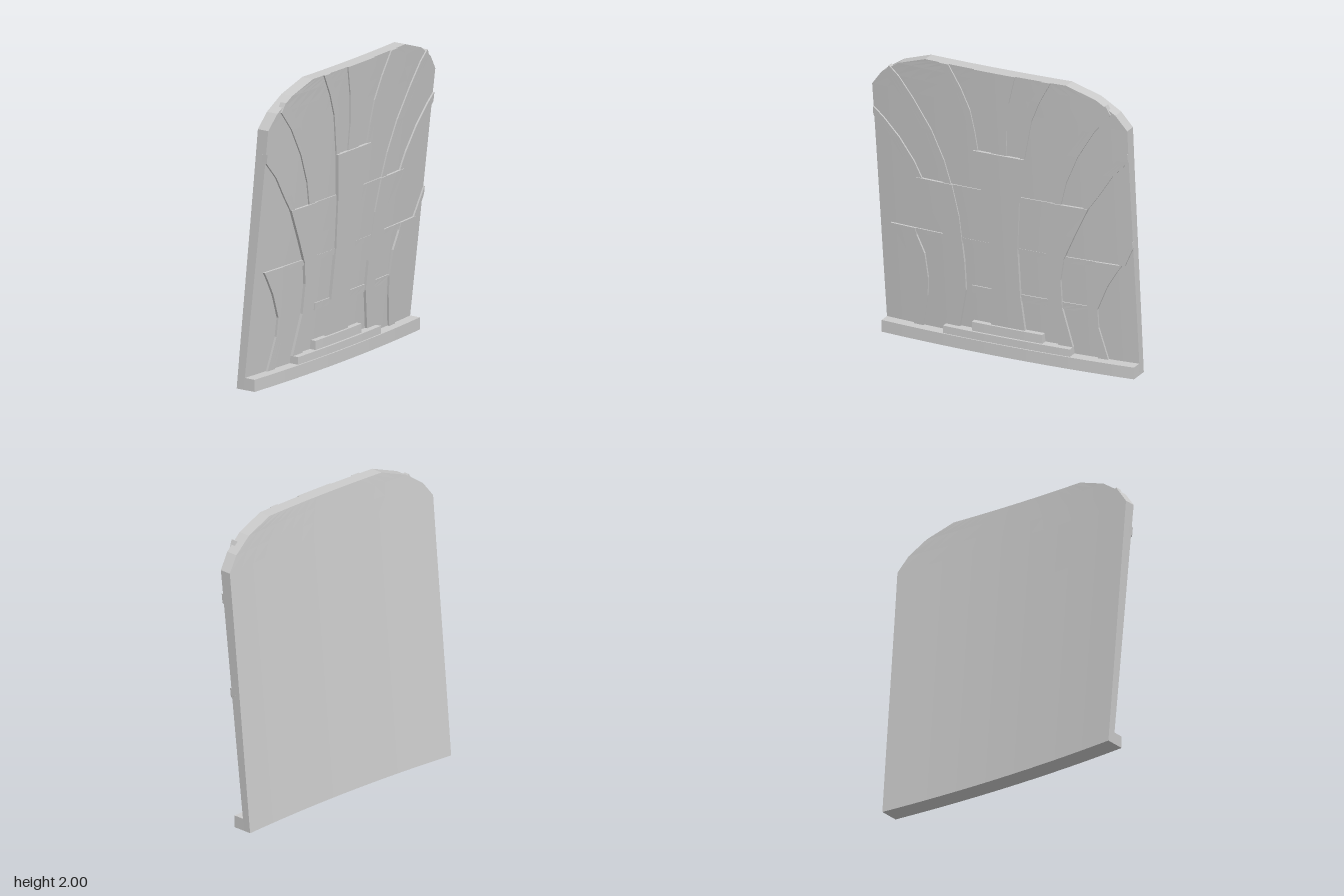
import * as THREE from 'three';

const material = new THREE.MeshStandardMaterial({ color: 0xcccccc, flatShading: true });

// Leaning, gently bowed surfaces of the panel
const bow = x => -0.04 * (x / 0.9) ** 2;
const back = (x, y) => -0.13 + 0.1 * y + bow(x);
const face = (x, y) => back(x, y) + 0.055 + 0.015 * y;

// Closed solid lofted through rows [y, xLeft, xRight] (upwards) between two z surfaces
function loft(name, rows, cols, zBack, zFront) {
  const pos = [];
  const point = (r, c, z) => {
    const [y, a, b] = rows[r];
    const x = a + (b - a) * c / cols;
    return [x, y, z(x, y)];
  };
  const F = (r, c) => point(r, c, zFront);
  const B = (r, c) => point(r, c, zBack);
  const quad = (a, b, c, d) => pos.push(...a, ...b, ...c, ...a, ...c, ...d);
  const top = rows.length - 1;
  for (let r = 0; r < top; r++) {
    for (let c = 0; c < cols; c++) {
      quad(F(r, c), F(r, c + 1), F(r + 1, c + 1), F(r + 1, c));
      quad(B(r, c + 1), B(r, c), B(r + 1, c), B(r + 1, c + 1));
    }
    quad(B(r, 0), F(r, 0), F(r + 1, 0), B(r + 1, 0));
    quad(F(r, cols), B(r, cols), B(r + 1, cols), F(r + 1, cols));
  }
  for (let c = 0; c < cols; c++) {
    quad(B(0, c), B(0, c + 1), F(0, c + 1), F(0, c));
    quad(F(top, c), F(top, c + 1), B(top, c + 1), B(top, c));
  }
  const geo = new THREE.BufferGeometry();
  geo.setAttribute('position', new THREE.Float32BufferAttribute(pos, 3));
  geo.computeVertexNormals();
  const mesh = new THREE.Mesh(geo, material);
  mesh.name = name;
  return mesh;
}

// Raised piece that follows the panel face
const relief = (name, rows, lift, cols = 3) =>
  loft(name, rows, cols, (x, y) => face(x, y) - 0.03, (x, y) => face(x, y) + lift);

const symmetric = rows => rows.map(([y, w]) => [y, -w, w]);
const mirrored = rows => rows.map(([y, a, b]) => [y, -b, -a]);

export function createModel() {
  const model = new THREE.Group();
  model.name = 'reliefPanel';

  // Main panel with clipped upper corners
  const outline = [[0, 0.895], [0.5, 0.898], [1, 0.9], [1.4, 0.902], [1.74, 0.905], [1.84, 0.83], [1.93, 0.7], [2, 0.5]];
  model.add(loft('panel', symmetric(outline), 16, back, face));

  // Stepped ledges along the foot
  [[0, 0.08, 0.895, 0.01], [0.08, 0.13, 0.45, 0.0], [0.13, 0.19, 0.25, -0.015]].forEach(([y0, y1, w, z], i) =>
    model.add(loft('ledge' + (i + 1), symmetric([[y0, w], [y1, w]]), 12, (x, y) => back(x, y) + 0.02, x => z + bow(x))));

  // Central column and the flared piece above it
  model.add(relief('centralColumn', symmetric([[0.19, 0.12], [0.43, 0.1], [0.77, 0.1], [1.1, 0.13], [1.42, 0.18]]), 0.022, 4));
  model.add(relief('centralFlare', symmetric([[1.42, 0.055], [1.6, 0.06], [1.8, 0.09], [2, 0.145]]), 0.009, 4));

  // Horizontal bars behind the ribs
  model.add(relief('middleBar', symmetric([[0.73, 0.78], [0.77, 0.82]]), 0.01, 14));
  model.add(relief('lowerBar', [[0.39, -0.25, 0.47], [0.44, -0.25, 0.6]], 0.008, 10));

  // Ribs and inlays for the left side, mirrored to the right
  const pieces = [
    ['upperRib', 0.01, [[1.42, 0.15, 0.18], [1.55, 0.165, 0.21], [1.7, 0.19, 0.245], [1.85, 0.25, 0.31], [2, 0.33, 0.395]]],
    ['shoulderRib', 0.01, [[1.14, 0.36, 0.42], [1.3, 0.4, 0.465], [1.5, 0.48, 0.555], [1.7, 0.6, 0.68], [1.84, 0.7, 0.8], [1.9, 0.765, 0.77]]],
    ['sideRib', 0.012, [[1.14, 0.57, 0.61], [1.25, 0.62, 0.69], [1.4, 0.72, 0.79], [1.52, 0.83, 0.903], [1.58, 0.9, 0.904]]],
    ['innerInlay', 0.008, [[0.75, 0.09, 0.31], [0.92, 0.1, 0.33], [1.14, 0.12, 0.37]]],
    ['innerRib', 0.018, [[0.13, 0.35, 0.45], [0.4, 0.29, 0.39], [0.6, 0.29, 0.39], [0.75, 0.3, 0.42], [0.92, 0.31, 0.5], [1.14, 0.35, 0.61]]],
    ['outerRib', 0.015, [[0.08, 0.62, 0.69], [0.3, 0.575, 0.635], [0.43, 0.565, 0.635], [0.6, 0.58, 0.71], [0.72, 0.63, 0.785], [0.77, 0.64, 0.82]]],
  ];
  for (const [name, lift, rows] of pieces) {
    model.add(relief(name + 'Left', rows, lift));
    model.add(relief(name + 'Right', mirrored(rows), lift));
  }

  // Short diagonal rib running off the left edge
  model.add(relief('edgeRib', [[0.77, 0.8, 0.84], [0.9, 0.87, 0.9], [0.95, 0.897, 0.9]], 0.012));
  return model;
}
